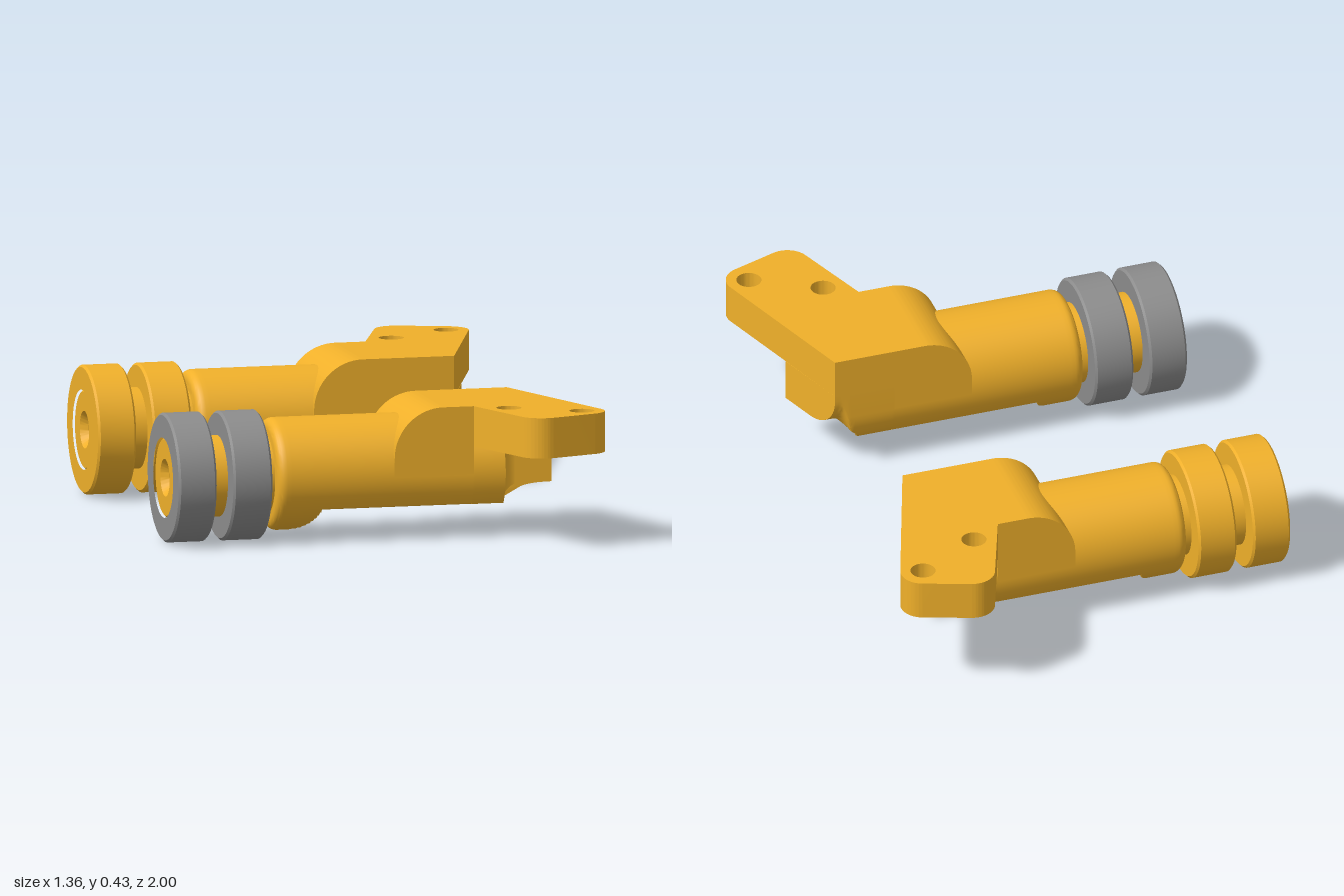
import * as THREE from 'three';
import { toCreasedNormals } from 'three/addons/utils/BufferGeometryUtils.js';

const AXIS_Y = 0.21, AXIS_Z = 0.5185, R = 0.18;
const yellow = new THREE.MeshStandardMaterial({ color: 0xf0b02a });
const grey = new THREE.MeshStandardMaterial({ color: 0x8c8c8c });

function add(group, name, geometry, material = yellow) {
  const mesh = new THREE.Mesh(toCreasedNormals(geometry, 0.5), material);
  mesh.name = name;
  group.add(mesh);
  return mesh;
}

// Skin equal-sized rings (counter-clockwise seen from the far end) and cap both ends
function loft(rings) {
  const n = rings[0].length, index = [], last = (rings.length - 1) * n;
  for (let k = 0; k < rings.length - 1; k++) {
    for (let i = 0; i < n; i++) {
      const a = k * n + i, b = k * n + (i + 1) % n;
      index.push(a, b, b + n, a, b + n, a + n);
    }
  }
  for (let i = 0; i < n / 2 - 1; i++) {
    const a = i, b = i + 1, c = n - 2 - i, d = n - 1 - i;
    index.push(a, c, b, a, d, c);
    index.push(last + a, last + b, last + c, last + a, last + c, last + d);
  }
  const g = new THREE.BufferGeometry();
  g.setAttribute('position', new THREE.Float32BufferAttribute(rings.flat(2), 3));
  g.setIndex(index);
  return g;
}

// Turned part whose axis lies along x: points are [radius, x]
function turned(group, name, points, material) {
  const g = new THREE.LatheGeometry(points.map(p => new THREE.Vector2(...p)), 64);
  g.rotateZ(-Math.PI / 2);
  add(group, name, g, material).position.set(0, AXIS_Y, AXIS_Z);
}

// Round barrel with a rounded rear edge and a flat underside
function barrelGeometry() {
  const stations = [];
  for (let i = 0; i <= 6; i++) {
    const t = i / 6 * Math.PI / 2;
    stations.push([-0.345 + 0.03 * (1 - Math.cos(t)), 0.15 + 0.03 * Math.sin(t)]);
  }
  for (let i = 0; i <= 12; i++) stations.push([-0.3 + 0.1064 * Math.sin(i / 12 * Math.PI / 2), R]);
  stations.push([0.05, R], [0.295, R]);
  return loft(stations.map(([x, r]) => {
    const dx = Math.max(0, x + 0.3);
    const floor = Math.min(0.11, 0.14 - Math.sqrt(Math.max(0, 0.0121 - dx * dx)));
    return Array.from({ length: 72 }, (_, i) => {
      const a = (i + 0.5) / 72 * Math.PI * 2;
      return [x, Math.max(floor, AXIS_Y + r * Math.cos(a)), AXIS_Z + r * Math.sin(a)];
    });
  }));
}

// Slanted end below the plate, relieved at the bottom and on the outer side
function tailGeometry() {
  const wall = 0.0615, f = 0.06, n = 32;
  const stations = [[wall, false], [wall, true]];
  for (let i = 0; i <= 36; i++) {
    const w = -R * Math.cos(i / 36 * Math.PI);
    stations.push([w, w > wall]);
  }
  for (let i = 1; i <= 6; i++) stations.push([wall + f * (1 - Math.cos(i / 6 * Math.PI / 2)), true]);
  stations.sort((a, b) => a[0] - b[0] || a[1] - b[1]);
  return loft(stations.map(([w, cut]) => {
    const q = Math.max(0, wall + f - w);
    const end = cut ? 0.46 - Math.sqrt(Math.max(0, f * f - q * q)) : 0.495 + (w + R) * 0.353;
    const half = Math.sqrt(Math.max(0, R * R - w * w));
    const top = w < 0 ? 0.3 : Math.min(0.3, AXIS_Y + half);
    const s = Math.max(0, 0.12 - (w + R));
    const corner = 0.28 - Math.sqrt(Math.max(0, 0.0144 - s * s));
    const lower = [], upper = [];
    for (let i = 0; i <= n; i++) {
      const x = 0.295 + (end - 0.295) * i / n;
      const dx = Math.min(0, x - 0.48);
      let y = Math.max(0.11, AXIS_Y - half);
      if (x > 0.413) y = Math.max(y, 0.09 + Math.sqrt(Math.max(0, 0.0049 - dx * dx)));
      y = Math.max(y, THREE.MathUtils.lerp(0.11, corner, THREE.MathUtils.smoothstep(x, 0.41, 0.48)));
      const z = AXIS_Z + w;
      lower.push([x, Math.min(y, top), z]);
      upper.unshift([x, top, z]);
    }
    return [...lower, ...upper];
  }));
}

// Flat-sided shoulder with a rounded rear, blending the barrel into the plate
function shoulderGeometry() {
  const s = new THREE.Shape();
  s.moveTo(0.035, AXIS_Y);
  s.lineTo(0.295, AXIS_Y);
  s.lineTo(0.295, 0.3);
  s.lineTo(0.195, 0.3);
  s.lineTo(0.195, 0.43);
  s.absarc(0.195, 0.27, 0.16, Math.PI / 2, Math.PI, false);
  const g = new THREE.ExtrudeGeometry(s, { depth: 2 * R, bevelEnabled: false, curveSegments: 20 });
  return g.translate(0, 0, AXIS_Z - R);
}

// Slanted mounting plate with two screw holes, drawn in x and z
function plateGeometry() {
  const near = AXIS_Z - R, far = AXIS_Z + R, tilt = -0.339, r = 0.073;
  const s = new THREE.Shape();
  s.moveTo(0.195, near);
  s.lineTo(0.495, near);
  s.absarc(0.605, 0.876, r, tilt, tilt + Math.PI / 2, false);
  s.absarc(0.458, 0.927, r, tilt + Math.PI / 2, tilt + Math.PI, false);
  s.lineTo(0.295, far);
  s.lineTo(0.195, far);
  for (const [x, z] of [[0.395, 0.757], [0.605, 0.874]]) {
    const hole = new THREE.Path();
    hole.absarc(x, z, 0.04, 0, Math.PI * 2, true);
    s.holes.push(hole);
  }
  const g = new THREE.ExtrudeGeometry(s, { depth: 0.13, bevelEnabled: false, curveSegments: 20 });
  return g.rotateX(Math.PI / 2).translate(0, 0.43, 0);
}

function createBracket(name, ringMaterial) {
  const group = new THREE.Group();
  group.name = name;
  add(group, 'barrel', barrelGeometry());
  add(group, 'shoulder', shoulderGeometry());
  add(group, 'tail', tailGeometry());
  add(group, 'mountingPlate', plateGeometry());
  // Shaft with a countersunk hole in its end
  turned(group, 'shaft', [[0, -0.58], [0.04, -0.58], [0.04, -0.65], [0.06, -0.674],
    [0.122, -0.674], [0.13, -0.666], [0.13, -0.34]], yellow);
  // Two collars with softened edges
  const b = 0.007, out = 0.207;
  [[-0.68, -0.555], [-0.5, -0.372]].forEach(([x0, x1], i) => {
    turned(group, i ? 'innerCollar' : 'outerCollar', [[0.128, x0], [out - b, x0], [out, x0 + b],
      [out, x1 - b], [out - b, x1], [0.128, x1]], ringMaterial);
  });
  return group;
}

export function createModel() {
  const model = new THREE.Group();
  model.name = 'bracketPair';
  const front = createBracket('frontBracket', grey);
  const back = createBracket('backBracket', yellow);
  back.scale.z = -1;
  model.add(front, back);
  return model;
}
